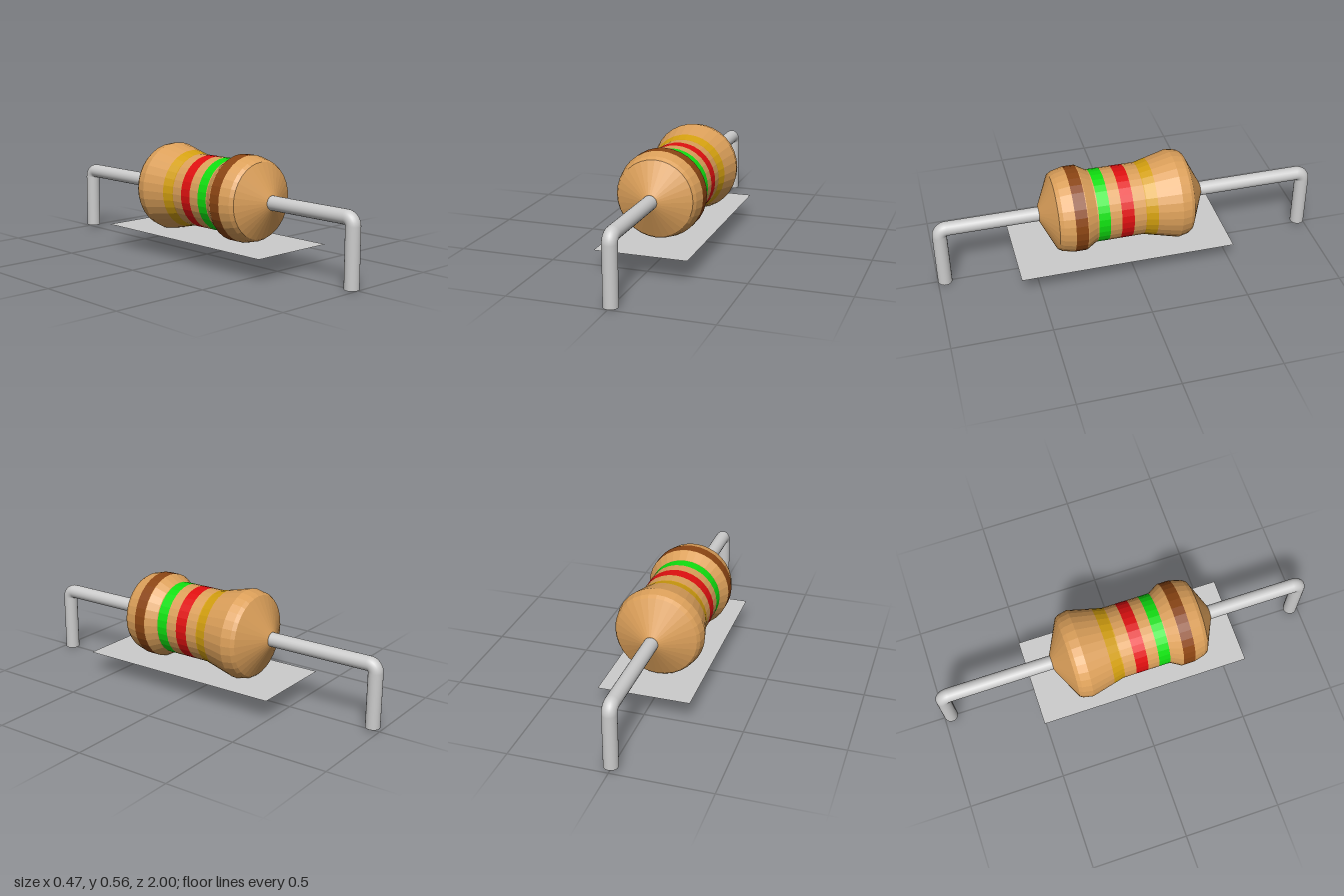
import * as THREE from 'three';

const AXIS_Y = 0.333;
const WIRE_R = 0.0365;
const BEND_R = 0.0375;
const LEG_Z = 0.963;

const metal = new THREE.MeshStandardMaterial({ color: 0xcccccc });
const shadowGrey = new THREE.MeshStandardMaterial({ color: 0xcccccc, side: THREE.DoubleSide });

function addMesh(parent, name, geometry, material) {
  const mesh = new THREE.Mesh(geometry, material);
  mesh.name = name;
  parent.add(mesh);
  return mesh;
}

// Ceramic body: outline as [z, radius], back to front
const OUTLINE = [
  [-0.386, 0], [-0.386, 0.04], [-0.303, 0.208], [-0.285, 0.22], [-0.236, 0.23], [-0.06, 0.187],
  [0.193, 0.187], [0.247, 0.219], [0.311, 0.219], [0.368, 0.205], [0.388, 0.193],
  [0.461, 0.04], [0.461, 0],
];

// Colour bands: [name, back z, front z, colour]
const BANDS = [
  ['goldBand', -0.115, -0.055, 0xd4a010],
  ['redBand', 0.007, 0.07, 0xe01010],
  ['greenBand', 0.129, 0.188, 0x10e010],
  ['brownBand', 0.25, 0.311, 0x8b4513],
];

function radiusAt(z) {
  const i = OUTLINE.findIndex(([pz]) => pz >= z);
  const [z0, r0] = OUTLINE[i - 1];
  const [z1, r1] = OUTLINE[i];
  return r0 + (r1 - r0) * (z - z0) / (z1 - z0);
}

// One turned slice of the body between two z positions
function addSlice(parent, name, from, to, color) {
  const inner = OUTLINE.filter(([z]) => z > from && z < to);
  const points = [[from, radiusAt(from)], ...inner, [to, radiusAt(to)]];
  addSliceFromPoints(parent, name, points, color);
}

function addSliceFromPoints(parent, name, points, color) {
  const geometry = new THREE.LatheGeometry(points.map(([z, r]) => new THREE.Vector2(r, z)), 32);
  geometry.rotateX(Math.PI / 2);
  const mesh = addMesh(parent, name, geometry,
    new THREE.MeshStandardMaterial({ color, flatShading: true }));
  mesh.position.y = AXIS_Y;
}

function makeBody() {
  const body = new THREE.Group();
  body.name = 'body';
  const tan = 0xdca05a;
  const first = BANDS[0][1];
  const last = BANDS[BANDS.length - 1][2];

  // Rounded closed ends
  addSliceFromPoints(body, 'backEnd',
    [...OUTLINE.filter(([z]) => z < first), [first, radiusAt(first)]], tan);
  addSliceFromPoints(body, 'frontEnd',
    [[last, radiusAt(last)], ...OUTLINE.filter(([z]) => z > last)], tan);

  // Bands and the plain sections between them
  BANDS.forEach(([name, from, to, color], i) => {
    addSlice(body, name, from, to, color);
    if (i < BANDS.length - 1) addSlice(body, 'bodySection', to, BANDS[i + 1][1], tan);
  });
  return body;
}

// Wire lead: straight run, rounded elbow and leg; side is +1 front, -1 back
function makeLead(name, side, startZ, bottomY) {
  const lead = new THREE.Group();
  lead.name = name;
  const bendZ = LEG_Z - BEND_R;
  const bendY = AXIS_Y - BEND_R;

  const run = new THREE.CylinderGeometry(WIRE_R, WIRE_R, bendZ - startZ, 24);
  run.rotateX(Math.PI / 2);
  addMesh(lead, 'wireRun', run, metal).position.set(0, AXIS_Y, side * (bendZ + startZ) / 2);

  const elbow = new THREE.TorusGeometry(BEND_R, WIRE_R, 24, 10, Math.PI / 2);
  elbow.rotateY(-side * Math.PI / 2);
  addMesh(lead, 'wireElbow', elbow, metal).position.set(0, bendY, side * bendZ);

  const leg = new THREE.CylinderGeometry(WIRE_R, WIRE_R, bendY - bottomY, 24);
  addMesh(lead, 'wireLeg', leg, metal).position.set(0, (bendY + bottomY) / 2, side * LEG_Z);
  return lead;
}

export function createModel() {
  const model = new THREE.Group();
  model.name = 'resistor';
  model.add(makeBody());
  model.add(makeLead('frontLead', 1, 0.42, 0));
  model.add(makeLead('backLead', -1, 0.34, 0.015));

  // Thin flat sheet just under the body
  const sheet = new THREE.PlaneGeometry(0.47, 1.11);
  sheet.rotateX(-Math.PI / 2);
  addMesh(model, 'baseSheet', sheet, shadowGrey).position.set(0, 0.115, 0.045);
  return model;
}
